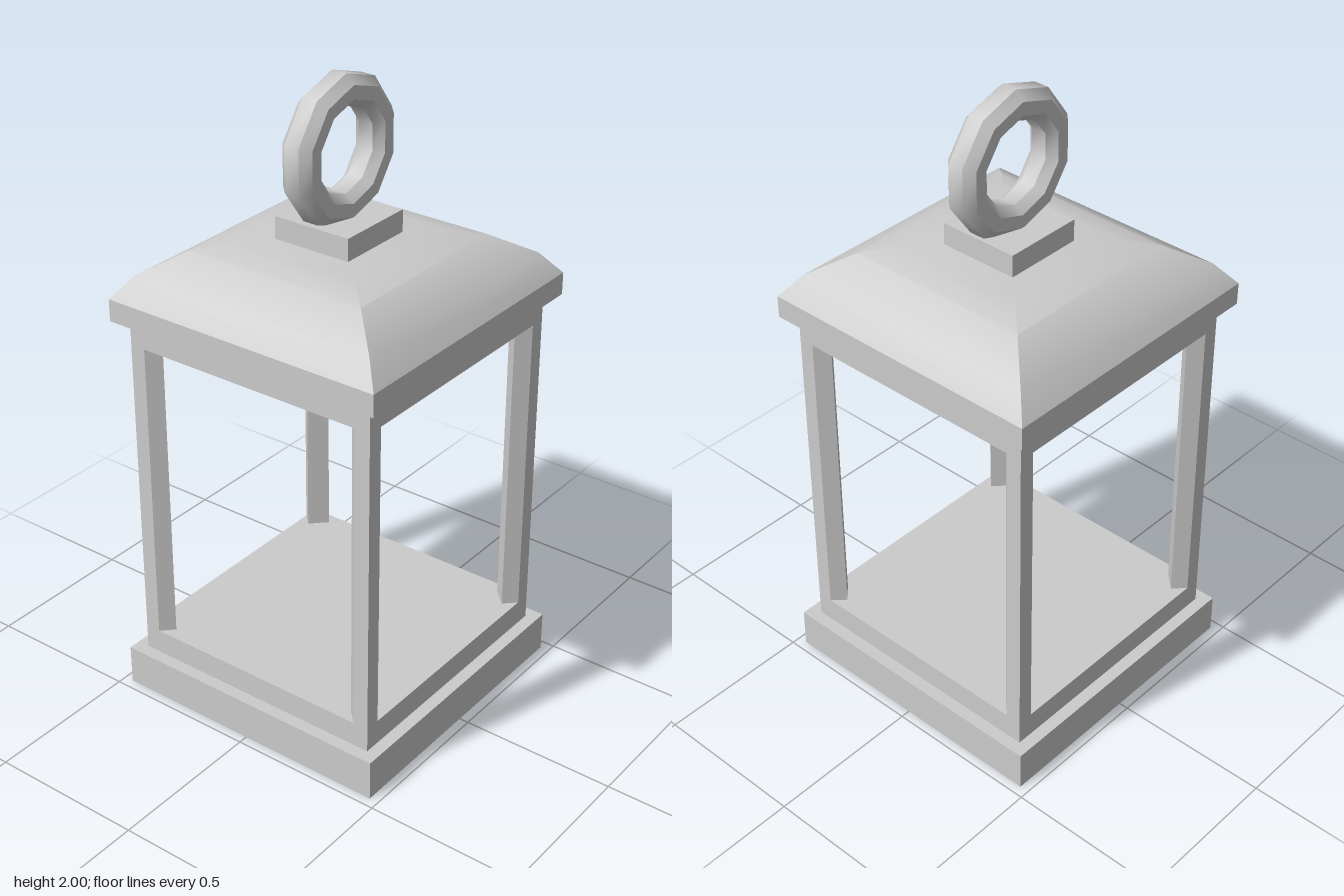
import * as THREE from 'three';
import { toCreasedNormals } from 'three/addons/utils/BufferGeometryUtils.js';

export function createModel() {
  const model = new THREE.Group();
  const material = new THREE.MeshStandardMaterial({ color: 0xcccccc });

  const add = (name, geometry) => {
    const mesh = new THREE.Mesh(geometry, material);
    mesh.name = name;
    model.add(mesh);
    return mesh;
  };
  // Square slab between two heights
  const slab = (name, half, y0, y1) => {
    add(name, new THREE.BoxGeometry(half * 2, y1 - y0, half * 2)).position.y = (y0 + y1) / 2;
  };
  const points = (list) => list.map(([x, y]) => new THREE.Vector2(x, y));

  // Base, floor and upper frame
  slab('base', 0.47, 0, 0.13);
  slab('floor', 0.43, 0.13, 0.21);
  slab('upperFrame', 0.43, 1.2, 1.28);

  // Corner posts: square outside, bevelled towards the inside
  const section = new THREE.Shape(points([
    [0.43, 0.43], [0.38, 0.43], [0.342, 0.392], [0.392, 0.342], [0.43, 0.38],
  ]));
  const postGeometry = new THREE.ExtrudeGeometry(section, { depth: 0.99, bevelEnabled: false });
  postGeometry.rotateX(-Math.PI / 2);
  for (let i = 0; i < 4; i++) {
    const post = add('cornerPost' + (i + 1), postGeometry);
    post.position.y = 0.21;
    post.rotation.y = i * Math.PI / 2;
  }

  // Domed square roof with its eave, turned in four sides
  const roofProfile = points([
    [0, 1.28], [0.47, 1.28], [0.47, 1.35], [0.415, 1.42],
    [0.305, 1.488], [0.22, 1.51], [0, 1.51],
  ]);
  roofProfile.forEach((p) => { p.x *= Math.SQRT2; });
  const roof = new THREE.LatheGeometry(roofProfile, 4, Math.PI / 4);
  add('roof', toCreasedNormals(roof, 0.58));

  // Block that holds the ring
  slab('ringBlock', 0.13, 1.505, 1.58);

  // Ten-sided carrying ring with an eight-sided section
  const ringProfile = points([
    [0.225, -0.025], [0.225, 0.025], [0.197, 0.052], [0.155, 0.052],
    [0.13, 0.025], [0.13, -0.025], [0.155, -0.052], [0.197, -0.052], [0.225, -0.025],
  ]);
  const ring = new THREE.LatheGeometry(ringProfile, 10, Math.PI / 2);
  ring.rotateZ(Math.PI / 2);
  add('carryingRing', toCreasedNormals(ring, 0.68)).position.y = 1.775;

  return model;
}
